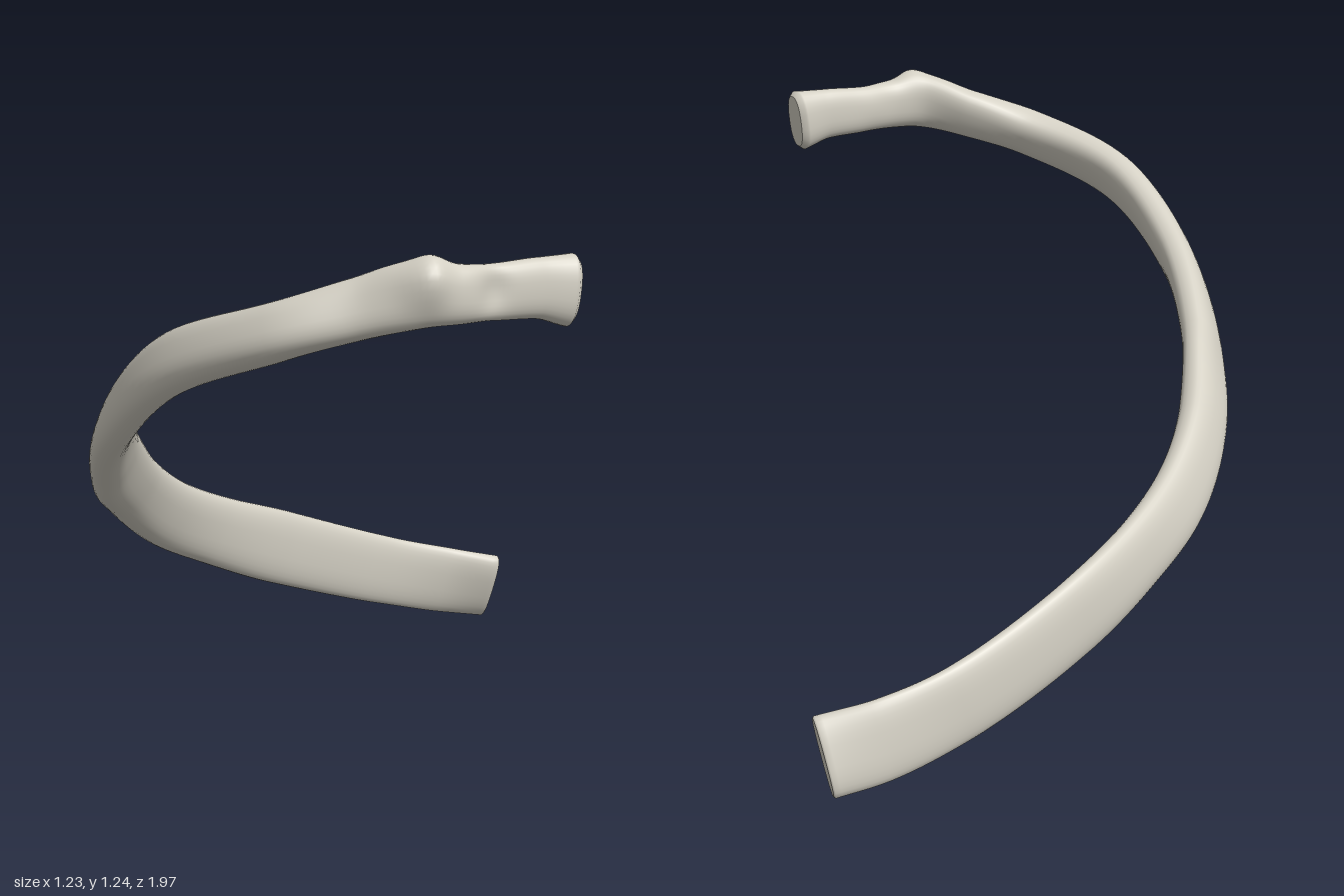
import * as THREE from 'three';

// Stations along the bone: centre x, y, z, then height, thickness, inward lean
const STATIONS = [
  [0.11, 0.092, -0.95, 0.185, 0.062, 0.3],
  [-0.01, 0.118, -0.885, 0.185, 0.05, 0.15],
  [-0.16, 0.17, -0.755, 0.185, 0.05, 0.05],
  [-0.345, 0.272, -0.51, 0.192, 0.06, 0.05],
  [-0.465, 0.365, -0.28, 0.178, 0.07, 0.15],
  [-0.53, 0.447, -0.09, 0.172, 0.078, 0.32],
  [-0.55, 0.55, 0.11, 0.165, 0.085, 0.42],
  [-0.51, 0.685, 0.38, 0.165, 0.085, 0.42],
  [-0.405, 0.835, 0.635, 0.158, 0.088, 0.42],
  [-0.22, 0.99, 0.83, 0.142, 0.09, 0.45],
  [0.025, 1.077, 0.925, 0.125, 0.1, 0.48],
  [0.2, 1.13, 0.905, 0.13, 0.082, 0.35],
  [0.315, 1.16, 0.89, 0.14, 0.08, 0.15],
  [0.39, 1.158, 0.845, 0.125, 0.075, 0.05],
  [0.46, 1.155, 0.765, 0.12, 0.062, 0],
  [0.535, 1.155, 0.69, 0.13, 0.066, 0],
  [0.588, 1.146, 0.64, 0.155, 0.088, 0],
];

// Local swellings and hollows: centre, push vector, radius
const BUMPS = [
  [0.355, 1.19, 0.935, 0.02, 0.012, 0.022, 0.05], // tubercle
  [0.35, 1.235, 0.89, 0, 0.014, 0, 0.04], // tubercle crest
  [0.455, 1.16, 0.80, -0.01, 0, -0.012, 0.04], // hollow in the neck
];

const SIDES = 32;
const STEPS = 160;

function buildBone() {
  const path = new THREE.CatmullRomCurve3(STATIONS.map((s) => new THREE.Vector3(s[0], s[1], s[2])));
  const sizes = new THREE.CatmullRomCurve3(STATIONS.map((s) => new THREE.Vector3(s[3], s[4], s[5])));
  const up = new THREE.Vector3(0, 1, 0);
  const soft = (v) => Math.sign(v) * Math.abs(v) ** 0.82;
  const pos = [];
  const index = [];

  function addRing(u, scale, shift) {
    const c = path.getPoint(u);
    const t = path.getTangent(u);
    const size = sizes.getPoint(u);
    const inward = new THREE.Vector3().crossVectors(up, t).normalize();
    const rise = new THREE.Vector3().crossVectors(t, inward);
    inward.applyAxisAngle(t, -size.z);
    rise.applyAxisAngle(t, -size.z);
    c.addScaledVector(t, shift);
    for (let j = 0; j < SIDES; j++) {
      const a = (j / SIDES) * Math.PI * 2;
      const p = c.clone()
        .addScaledVector(inward, soft(Math.cos(a)) * size.y * 0.5 * scale)
        .addScaledVector(rise, soft(Math.sin(a)) * (size.x * 0.5 - (1 - scale) * size.y * 0.5));
      const q = p.clone();
      for (const [x, y, z, dx, dy, dz, r] of BUMPS) {
        const d2 = (q.x - x) ** 2 + (q.y - y) ** 2 + (q.z - z) ** 2;
        p.addScaledVector(new THREE.Vector3(dx, dy, dz), Math.exp(-d2 / (r * r)));
      }
      pos.push(p.x, p.y, p.z);
    }
    return c;
  }

  // Shaft, with a small bevel ring at each end
  const startCentre = addRing(0, 0.85, -0.004);
  for (let i = 0; i <= STEPS; i++) addRing(i / STEPS, 1, 0);
  const endCentre = addRing(1, 0.75, 0.012);
  const rings = STEPS + 3;
  for (let i = 0; i < rings - 1; i++) {
    for (let j = 0; j < SIDES; j++) {
      const k = (j + 1) % SIDES;
      const a = i * SIDES + j, b = i * SIDES + k;
      index.push(a, b, a + SIDES, b, b + SIDES, a + SIDES);
    }
  }

  // Flat end faces with their own vertices, so their rims stay crisp
  [[0, startCentre, true], [rings - 1, endCentre, false]].forEach(([ring, c, flip]) => {
    const base = pos.length / 3;
    pos.push(...pos.slice(ring * SIDES * 3, (ring + 1) * SIDES * 3), c.x, c.y, c.z);
    for (let j = 0; j < SIDES; j++) {
      const k = (j + 1) % SIDES;
      index.push(base + SIDES, base + (flip ? k : j), base + (flip ? j : k));
    }
  });

  const geometry = new THREE.BufferGeometry();
  geometry.setAttribute('position', new THREE.Float32BufferAttribute(pos, 3));
  geometry.setIndex(index);
  geometry.computeVertexNormals();
  return geometry;
}

export function createModel() {
  const bone = new THREE.MeshStandardMaterial({ color: 0xd4d0c4 });
  bone.name = 'bone';
  const rib = new THREE.Mesh(buildBone(), bone);
  rib.name = 'rib';
  const group = new THREE.Group();
  group.name = 'ribBone';
  group.add(rib);
  return group;
}
